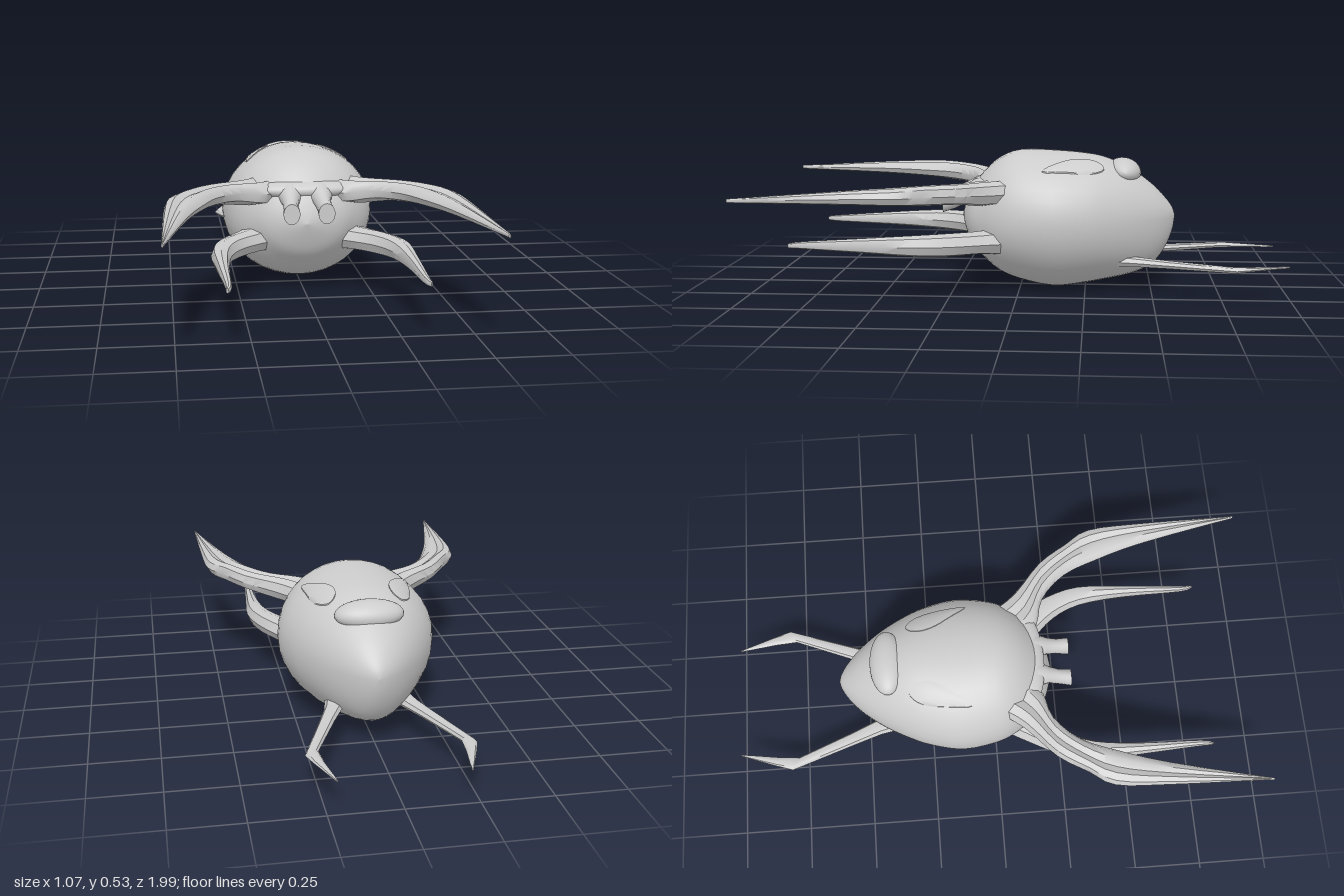
import * as THREE from 'three';
import { toCreasedNormals } from 'three/addons/utils/BufferGeometryUtils.js';

const V = (x, y, z) => new THREE.Vector3(x, y, z);
const material = new THREE.MeshStandardMaterial({ color: 0xcccccc });

// Skin closed rings of points, cap both ends, and turn the faces outward.
function loft(rings, crease) {
  const n = rings[0].length, pts = rings.flat(), index = [];
  for (let r = 0; r < rings.length - 1; r++)
    for (let i = 0; i < n; i++) {
      const a = r * n + i, b = r * n + (i + 1) % n;
      index.push(a, b, a + n, b, b + n, a + n);
    }
  for (const [start, flip] of [[0, true], [(rings.length - 1) * n, false]]) {
    const c = V(0, 0, 0);
    for (let i = 0; i < n; i++) c.addScaledVector(pts[start + i], 1 / n);
    const ci = pts.push(c) - 1;
    for (let i = 0; i < n; i++) {
      const a = start + i, b = start + (i + 1) % n;
      if (flip) index.push(b, a, ci); else index.push(a, b, ci);
    }
  }
  let volume = 0;
  for (let i = 0; i < index.length; i += 3)
    volume += pts[index[i]].dot(V(0, 0, 0).crossVectors(pts[index[i + 1]], pts[index[i + 2]]));
  if (volume < 0) index.reverse();
  const geo = new THREE.BufferGeometry().setFromPoints(pts);
  geo.setIndex(index);
  geo.computeVertexNormals();
  return crease ? toCreasedNormals(geo, crease) : geo;
}

// Hull stations: z, half width, top, bottom
const hull = [
  [0.225, 0.004, 0.283, 0.277], [0.212, 0.07, 0.33, 0.23], [0.185, 0.14, 0.39, 0.165],
  [0.14, 0.19, 0.45, 0.115], [0.08, 0.24, 0.503, 0.065], [0, 0.275, 0.532, 0.032],
  [-0.13, 0.293, 0.53, 0.006], [-0.25, 0.268, 0.52, 0.02], [-0.33, 0.235, 0.503, 0.035],
  [-0.42, 0.185, 0.462, 0.055], [-0.5, 0.125, 0.405, 0.09], [-0.55, 0.075, 0.355, 0.15],
  [-0.58, 0.032, 0.315, 0.22], [-0.59, 0.003, 0.285, 0.275],
];
const smooth = (pts) => new THREE.CatmullRomCurve3(pts, false, 'catmullrom', 0.5);
const widthCurve = smooth(hull.map(([z, w]) => V(z, w, 0)));
const heightCurve = smooth(hull.map(([z, , t, b]) => V(z, t, b)));
const stations = Array.from({ length: 40 }, (_, i) => {
  const w = widthCurve.getPoint(i / 39), h = heightCurve.getPoint(i / 39);
  return { z: w.x, w: Math.max(w.y, 0.002), top: h.y, bottom: h.z };
});
const MID = 0.28;

// Height of the hull's upper surface
function hullTop(x, z) {
  const i = Math.max(1, stations.findIndex((s) => s.z <= z));
  const a = stations[i - 1], b = stations[i], t = (z - a.z) / (b.z - a.z);
  const w = a.w + (b.w - a.w) * t, top = a.top + (b.top - a.top) * t;
  return MID + (top - MID) * Math.sqrt(Math.max(0, 1 - (x / w) ** 2));
}

function hullGeometry() {
  return loft(stations.map((s) => Array.from({ length: 36 }, (_, i) => {
    const a = (i / 36) * Math.PI * 2, sn = Math.sin(a);
    return V(Math.cos(a) * s.w, MID + sn * (sn > 0 ? s.top - MID : MID - s.bottom), s.z);
  })));
}

// Limb cross-sections as (across, up), both from 0 to 1
const grooved = [[0, 0.5], [0.1, 0.15], [0.5, 0], [0.9, 0.15], [1, 0.5], [0.92, 0.85],
  [0.72, 1], [0.52, 0.82], [0.3, 0.95], [0.1, 0.8]];
const plain = [[0, 0.5], [0.15, 0.12], [0.5, 0], [0.85, 0.12], [1, 0.5], [0.85, 0.88],
  [0.5, 1], [0.15, 0.88]];

// Limb rows: inner x, inner z, outer x, outer z, bottom, top
function limb(rows, section, side, steps) {
  const inner = smooth(rows.map((r) => V(r[0], r[4], r[1])));
  const outer = smooth(rows.map((r) => V(r[2], r[5], r[3])));
  const count = (rows.length - 1) * steps;
  return loft(Array.from({ length: count + 1 }, (_, k) => {
    const a = inner.getPoint(k / count), b = outer.getPoint(k / count);
    return section.map(([u, v]) => V(
      side * (a.x + (b.x - a.x) * u), a.y + (b.y - a.y) * v, a.z + (b.z - a.z) * u));
  }), 0.7);
}

const upperArm = [
  [0.07, 0.13, 0.2, 0.0, 0.34, 0.43], [0.14, 0.18, 0.27, 0.1, 0.34, 0.432],
  [0.24, 0.21, 0.39, 0.21, 0.36, 0.436], [0.33, 0.3, 0.46, 0.32, 0.366, 0.44],
  [0.385, 0.43, 0.515, 0.41, 0.372, 0.437], [0.445, 0.62, 0.528, 0.6, 0.38, 0.428],
  [0.53, 0.99, 0.537, 0.99, 0.39, 0.404],
];
const lowerArm = [
  [0.1, 0.12, 0.22, 0.03, 0.15, 0.25], [0.16, 0.18, 0.27, 0.12, 0.16, 0.246],
  [0.235, 0.26, 0.33, 0.24, 0.162, 0.248], [0.285, 0.37, 0.362, 0.37, 0.168, 0.246],
  [0.307, 0.55, 0.352, 0.55, 0.18, 0.235], [0.313, 0.78, 0.337, 0.77, 0.192, 0.22],
  [0.327, 0.835, 0.336, 0.82, 0.196, 0.214],
];
const rearLeg = [
  [0.05, -0.3, 0.15, -0.33, 0.1, 0.15], [0.105, -0.45, 0.172, -0.45, 0.104, 0.142],
  [0.15, -0.55, 0.205, -0.55, 0.107, 0.138], [0.242, -0.775, 0.291, -0.8, 0.11, 0.133],
  [0.235, -0.86, 0.27, -0.865, 0.115, 0.131], [0.215, -1, 0.221, -1, 0.122, 0.129],
];

// Short oval pipe: x, y, z, x radius, y radius
function nozzle(side) {
  const rows = [[0.055, 0.385, 0.12, 0.055, 0.045], [0.056, 0.382, 0.17, 0.046, 0.042],
    [0.059, 0.365, 0.21, 0.031, 0.036], [0.062, 0.345, 0.25, 0.027, 0.036],
    [0.064, 0.333, 0.295, 0.031, 0.038]];
  return loft(rows.map(([x, y, z, rx, ry]) => Array.from({ length: 16 }, (_, i) => {
    const a = (i / 16) * Math.PI * 2;
    return V(side * (x + Math.cos(a) * rx), y + Math.sin(a) * ry, z);
  })), 0.9);
}

// Teardrop window that follows the hull
function eye(side) {
  const outline = [[0.196, -0.09], [0.15, -0.15], [0.115, -0.205], [0.1, -0.255], [0.107, -0.3],
    [0.13, -0.318], [0.16, -0.295], [0.18, -0.25], [0.191, -0.19]];
  const curve = new THREE.CatmullRomCurve3(outline.map(([x, z]) => V(x, 0, z)), true);
  const edge = curve.getPoints(32).slice(0, 32);
  const cx = 0.15, cz = -0.225;
  return loft([[1, -0.012], [1, 0.004], [0.7, 0.006], [0.35, 0.007], [0.05, 0.007]].map(([s, lift]) =>
    edge.map((p) => {
      const x = cx + (p.x - cx) * s, z = cz + (p.z - cz) * s;
      return V(side * x, hullTop(x, z) + lift, z);
    })), 0.8);
}

export function createModel() {
  const model = new THREE.Group();
  const add = (name, geometry) => {
    const mesh = new THREE.Mesh(geometry, material);
    mesh.name = name;
    model.add(mesh);
    return mesh;
  };
  const blob = (name, x, y, z, rx, ry, rz) => {
    const mesh = add(name, new THREE.SphereGeometry(1, 28, 18));
    mesh.position.set(x, y, z);
    mesh.scale.set(rx, ry, rz);
    return mesh;
  };

  add('body', hullGeometry());
  // Hump over the tail and brow between the upper arms
  blob('tailHump', 0, 0.452, -0.395, 0.125, 0.05, 0.065).rotation.x = -0.2;
  blob('brow', 0, 0.395, 0.13, 0.19, 0.036, 0.065);

  for (const [label, side] of [['left', 1], ['right', -1]]) {
    add(label + 'UpperArm', limb(upperArm, grooved, side, 3));
    add(label + 'LowerArm', limb(lowerArm, plain, side, 3));
    add(label + 'RearLeg', limb(rearLeg, plain, side, 1));
    add(label + 'Nozzle', nozzle(side));
    add(label + 'Eye', eye(side));
  }
  return model;
}
